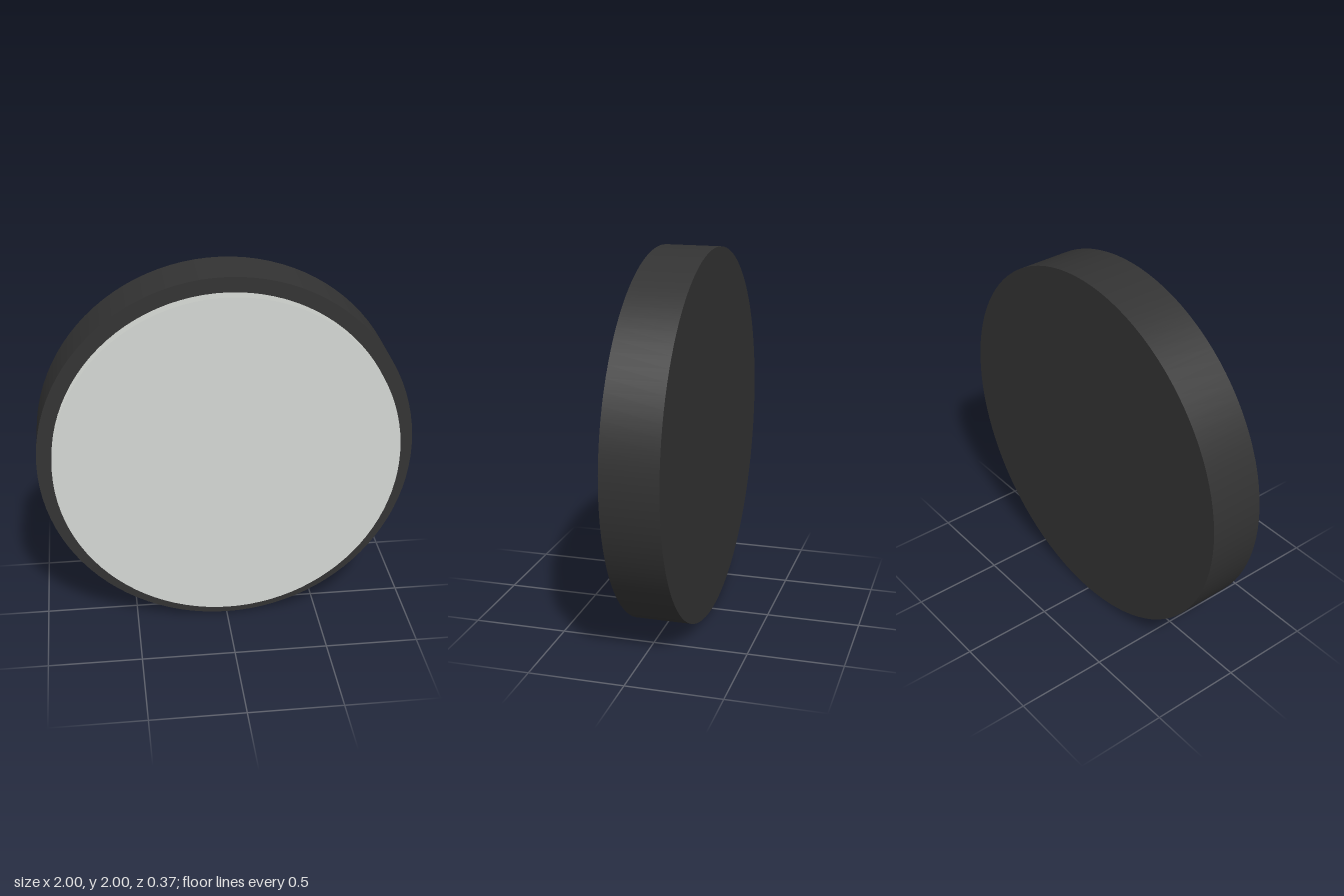
import * as THREE from 'three';

const mat = (name, color) => {
  const m = new THREE.MeshStandardMaterial({ color });
  m.name = name;
  return m;
};

export function createModel() {
  const clock = new THREE.Group();
  clock.name = 'wallClock';
  const black = mat('charcoal', 0x333333);
  const dialGrey = mat('dial grey', 0xd8dbd6);
  const glassGrey = mat('glass grey', 0xd4d8d4);

  // Everything is built around the clock centre, which sits at y = 1
  const face = new THREE.Group();
  face.name = 'clock';
  face.position.y = 1;
  clock.add(face);

  const add = (name, geometry, material, z, parent = face) => {
    const mesh = new THREE.Mesh(geometry, material);
    mesh.name = name;
    mesh.position.z = z;
    parent.add(mesh);
    return mesh;
  };

  // Round case
  add('case', new THREE.CylinderGeometry(1, 1, 0.3, 96).rotateX(Math.PI / 2), black, -0.035);

  // Dial on the front of the case
  add('dial', new THREE.CircleGeometry(0.92, 96), dialGrey, 0.117);

  // Hour marks, longer at the quarters
  const marks = new THREE.Group();
  marks.name = 'hourMarks';
  face.add(marks);
  for (let i = 0; i < 12; i++) {
    const quarter = i % 3 === 0;
    const length = quarter ? 0.25 : 0.08;
    const g = new THREE.BoxGeometry(quarter ? 0.04 : 0.02, length, 0.004);
    g.translate(0, 0.78 - length / 2, 0);
    add('hourMark', g, black, 0.119, marks).rotation.z = -i * Math.PI / 6;
  }

  // Hands: clockwise angle in degrees from twelve, tip and tail lengths
  const hand = (name, angle, tip, tail, width, z) => {
    const g = new THREE.BoxGeometry(width, tip + tail, 0.006);
    g.translate(0, (tip - tail) / 2, 0);
    add(name, g, black, z).rotation.z = -THREE.MathUtils.degToRad(angle);
  };
  hand('hourHand', 64, 0.35, 0.1, 0.04, 0.124);
  hand('minuteHand', 52, 0.57, 0.12, 0.03, 0.136);
  hand('secondHand', 235.6, 0.88, 0.145, 0.012, 0.148);

  // Centre hub holding the hands
  add('hub', new THREE.CylinderGeometry(0.05, 0.05, 0.055, 32).rotateX(Math.PI / 2), black, 0.1425);

  // Flat cover glass in front of the hands
  add('glass', new THREE.CircleGeometry(0.92, 96), glassGrey, 0.185);

  return clock;
}
